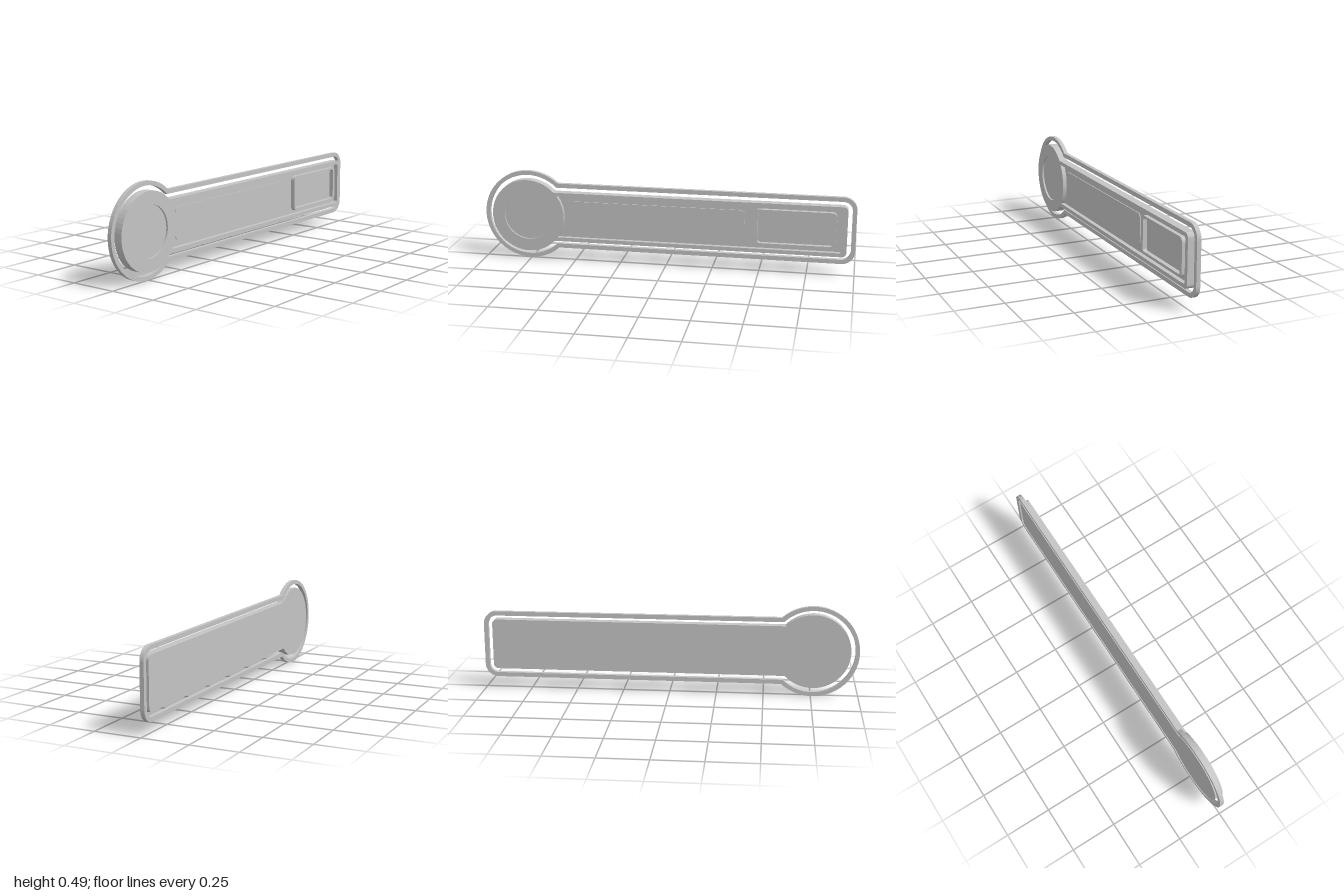
import * as THREE from 'three';

const CX = -0.757, CY = 0.244; // centre of the round head, bar shares CY

// Straight part of a bar: half height h, end x, corner radius c
function barEnd(path, h, end, c) {
  path.lineTo(end - c, CY - h);
  path.absarc(end - c, CY - h + c, c, -Math.PI / 2, 0, false);
  path.absarc(end - c, CY + h - c, c, 0, Math.PI / 2, false);
  path.closePath();
  return path;
}

// Round head of radius r merged with a bar
function paddle(path, r, h, end, c) {
  const a = Math.asin(h / r);
  path.absarc(CX, CY, r, a, Math.PI * 2 - a, false);
  return barEnd(path, h, end, c);
}

// Recess in the bar, its left end following the round head
function barPocket(path, r, h, end, c) {
  const a = Math.asin(h / r);
  path.absarc(CX, CY, r, a, -a, true);
  return barEnd(path, h, end, c);
}

function roundRect(path, x0, x1, y0, y1, c) {
  path.absarc(x1 - c, y0 + c, c, -Math.PI / 2, 0, false);
  path.absarc(x1 - c, y1 - c, c, 0, Math.PI / 2, false);
  path.absarc(x0 + c, y1 - c, c, Math.PI / 2, Math.PI, false);
  path.absarc(x0 + c, y0 + c, c, Math.PI, Math.PI * 1.5, false);
  path.closePath();
  return path;
}

export function createModel() {
  const group = new THREE.Group();
  const grey = new THREE.MeshStandardMaterial({ color: 0xc4c4c4 });
  grey.name = 'plain grey';

  const slab = (name, shape, z0, z1) => {
    const geo = new THREE.ExtrudeGeometry(shape, { depth: z1 - z0, bevelEnabled: false, curveSegments: 20 });
    geo.translate(0, 0, z0);
    const mesh = new THREE.Mesh(geo, grey);
    mesh.name = name;
    group.add(mesh);
  };

  const BACK = -0.022, FLOOR = 0, FRONT = 0.023;

  // Thin outline frame around the back half, separated from the plate by a gap
  const frame = paddle(new THREE.Shape(), 0.244, 0.181, 1, 0.07);
  frame.holes.push(paddle(new THREE.Path(), 0.222, 0.158, 0.977, 0.048));
  slab('outlineFrame', frame, BACK, 0);

  // Plate: solid back and a front layer with recesses
  slab('plateBack', paddle(new THREE.Shape(), 0.199, 0.136, 0.955, 0.025), BACK, FLOOR);
  const rim = paddle(new THREE.Shape(), 0.199, 0.136, 0.955, 0.025);
  rim.holes.push(barPocket(new THREE.Path(), 0.199, 0.115, 0.93, 0.012));
  rim.holes.push(new THREE.Path().absarc(CX, CY, 0.132, 0, Math.PI * 2, false));
  slab('plateRim', rim, FLOOR, FRONT);

  // Floor of the round recess
  slab('headFloor', new THREE.Shape().absarc(CX, CY, 0.132, 0, Math.PI * 2, false), FLOOR, 0.013);

  // Low panel along the bar
  slab('longPanel', roundRect(new THREE.Shape(), -0.545, 0.42, 0.16, 0.33, 0.025), FLOOR, 0.005);

  // Raised frame near the end of the bar
  const box = roundRect(new THREE.Shape(), 0.475, 0.9, 0.147, 0.345, 0.025);
  box.holes.push(roundRect(new THREE.Path(), 0.49, 0.882, 0.161, 0.333, 0.012));
  slab('endFrame', box, FLOOR, FRONT);

  return group;
}
